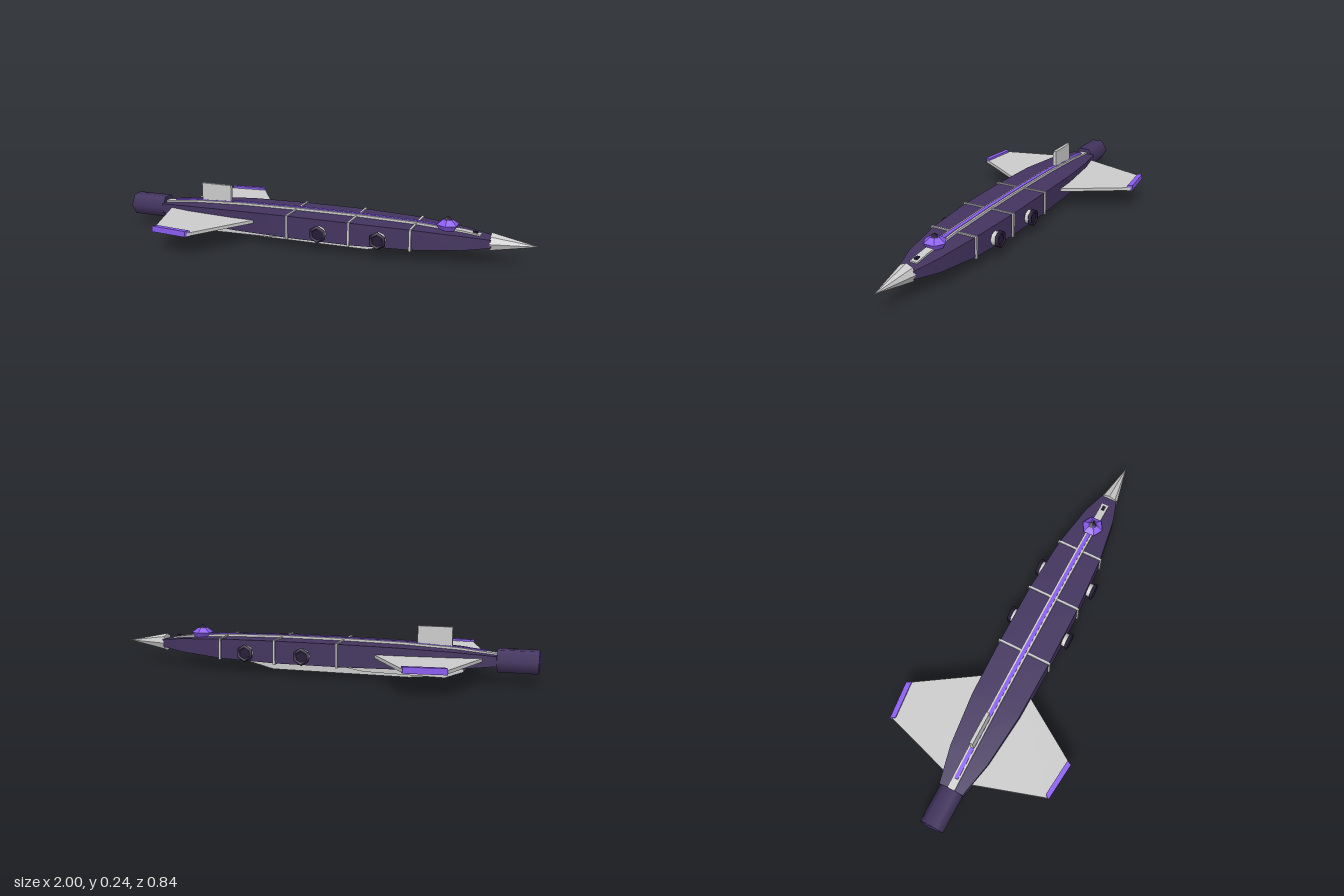
import * as THREE from 'three';
import { toCreasedNormals } from 'three/addons/utils/BufferGeometryUtils.js';

const paint = (color) => new THREE.MeshStandardMaterial({ color });
const grey = paint(0xcccccc);
const hullPaint = paint(0x43345f);
const dark = paint(0x251b35);
const violet = paint(0x8a5cf0);
const AXIS = 0.102; // height of the hull's centre line

// Rectangular sections [x, bottom, top, halfWidth] joined along x
function loft(sections) {
  const pos = [], idx = [];
  sections.forEach(([x, y0, y1, w]) => pos.push(x, y0, -w, x, y1, -w, x, y1, w, x, y0, w));
  for (let i = 0; i < sections.length - 1; i++) {
    for (let j = 0; j < 4; j++) {
      const a = i * 4 + j, b = i * 4 + (j + 1) % 4;
      idx.push(a, b, b + 4, a, b + 4, a + 4);
    }
  }
  const e = (sections.length - 1) * 4;
  idx.push(0, 2, 1, 0, 3, 2, e, e + 1, e + 2, e, e + 2, e + 3);
  const geo = new THREE.BufferGeometry();
  geo.setAttribute('position', new THREE.Float32BufferAttribute(pos, 3));
  geo.setIndex(idx);
  return toCreasedNormals(geo, 0.6);
}

// Flat plate from [x, z] points, with a given bottom and thickness
function plate(points, bottom, thick) {
  const shape = new THREE.Shape(points.map(([x, z]) => new THREE.Vector2(x, -z)));
  const geo = new THREE.ExtrudeGeometry(shape, { depth: thick, bevelEnabled: false });
  return geo.rotateX(-Math.PI / 2).translate(0, bottom, 0);
}

export function createModel() {
  const model = new THREE.Group();
  const add = (name, geo, mat, x = 0, y = 0, z = 0) => {
    const mesh = new THREE.Mesh(geo, mat);
    mesh.name = name;
    mesh.position.set(x, y, z);
    model.add(mesh);
    return mesh;
  };

  // Hull: [x, half height, half width]
  const stations = [
    [-0.82, 0.022, 0.058], [-0.65, 0.037, 0.095], [-0.4, 0.048, 0.12], [-0.12, 0.052, 0.126],
    [0.18, 0.052, 0.125], [0.46, 0.046, 0.108], [0.68, 0.032, 0.074], [0.8, 0.018, 0.038],
  ];
  add('hull', loft(stations.map(([x, h, w]) => [x, AXIS - h, AXIS + h, w])), hullPaint);

  // Frame bands round the hull
  for (const [x, h, w] of [stations[3], stations[4], stations[5]]) {
    add('hullBand', new THREE.BoxGeometry(0.01, 2 * h + 0.01, 2 * w + 0.014), grey, x, AXIS, 0);
  }

  // Spine strip along the top with a narrow coloured inlay
  const spine = [
    [-0.82, 0.131], [-0.65, 0.149], [-0.4, 0.161], [-0.12, 0.165],
    [0.18, 0.165], [0.46, 0.159], [0.68, 0.142], [0.75, 0.132],
  ];
  add('spine', loft(spine.map(([x, y]) => [x, y - 0.03, y, 0.018])), grey);
  const inlay = [[-0.77, 0.139], ...spine.slice(1, 6), [0.6, 0.151]];
  add('spineInlay', loft(inlay.map(([x, y]) => [x, y - 0.02, y + 0.003, 0.009])), violet);
  add('sensor', new THREE.BoxGeometry(0.022, 0.016, 0.014), dark, 0.725, 0.134, 0);

  // Nose spike
  const nose = toCreasedNormals(new THREE.ConeGeometry(0.043, 0.205, 8), 0.3);
  add('noseSpike', nose, grey, 0.8975, AXIS, 0).rotation.z = -Math.PI / 2;

  // Tail engine with glowing outlet
  const along = (r, len) => new THREE.CylinderGeometry(r, r, len, 6)
    .toNonIndexed().rotateZ(Math.PI / 2);
  add('tailEngine', along(0.057, 0.178), hullPaint, -0.909, 0.1, 0);
  add('engineOutlet', along(0.042, 0.01), violet, -0.995, 0.1, 0);

  // Dorsal fin
  add('dorsalFin', new THREE.BoxGeometry(0.156, 0.085, 0.016), grey, -0.542, 0.195, 0);

  // Faceted turret with pointed cap
  const turret = new THREE.CylinderGeometry(0.022, 0.052, 0.022, 6);
  add('turret', toCreasedNormals(turret, 0.3), violet, 0.6, 0.172, 0);
  add('turretBase', new THREE.CylinderGeometry(0.052, 0.038, 0.025, 6), violet, 0.6, 0.1485, 0);
  add('turretCap', new THREE.ConeGeometry(0.024, 0.018, 4), dark, 0.6, 0.19, 0);

  for (const s of [1, -1]) {
    const side = s > 0 ? 'Front' : 'Back';

    // Swept wing and its tip bar
    const wing = [[-0.76, 0.07], [-0.26, 0.07], [-0.48, 0.412], [-0.66, 0.392]];
    const tip = [[-0.65, 0.379], [-0.473, 0.398], [-0.485, 0.42], [-0.665, 0.4]];
    const mirror = (pts) => pts.map(([x, z]) => [x, s * z]);
    add('wing' + side, plate(mirror(wing), 0.1, 0.015), grey);
    add('wingTip' + side, plate(mirror(tip), 0.098, 0.027), violet);

    // Side pods with dark hexagonal rims
    for (const x of [0.04, 0.32]) {
      const inner = x > 0.2 ? 0.008 : 0;
      const tube = new THREE.CylinderGeometry(0.034, 0.034, 0.06, 8).rotateX(Math.PI / 2);
      add('sidePod' + side, toCreasedNormals(tube, 0.9), grey, x, 0.092, s * (0.12 - inner));
      const rim = new THREE.TorusGeometry(0.033, 0.009, 6, 6).rotateZ(Math.PI / 6);
      add('podRim' + side, rim, dark, x, 0.092, s * (0.151 - inner));
      const cover = new THREE.CylinderGeometry(0.034, 0.034, 0.008, 6).rotateX(Math.PI / 2);
      add('podCover' + side, cover, dark, x, 0.092, s * (0.15 - inner));
    }

    // Outer runner under the hull
    const runner = loft([
      [-0.68, 0.048, 0.06, 0.004], [-0.6, 0.02, 0.06, 0.017],
      [-0.23, 0.026, 0.054, 0.017], [-0.14, 0.038, 0.052, 0.004],
    ]);
    add('runner' + side, runner, grey, 0, 0, s * 0.056);
  }

  // Central keel
  add('keel', loft([
    [-0.68, 0.05, 0.068, 0.004], [-0.6, 0.018, 0.06, 0.01], [-0.43, 0, 0.06, 0.01],
    [0.23, 0, 0.055, 0.01], [0.4, 0.04, 0.056, 0.004],
  ]), grey);

  return model;
}
